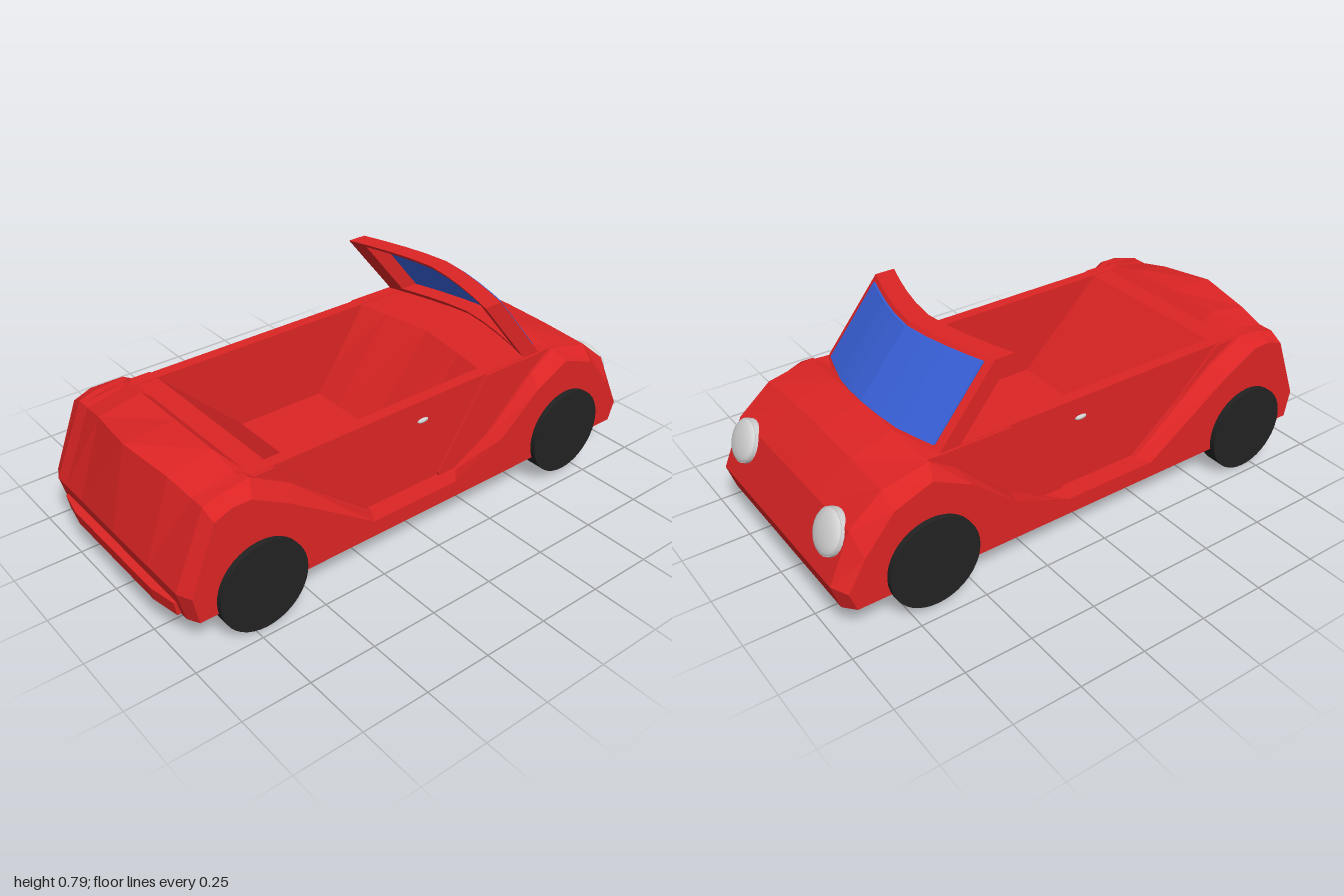
import * as THREE from 'three';

const mat = (name, color, side = THREE.FrontSide) => {
  const m = new THREE.MeshStandardMaterial({ color, side });
  m.name = name;
  return m;
};

// Flat-faced solid through matching [z, y] outlines (counter-clockwise) placed at rising x
function loft(sections) {
  const pos = [];
  const tri = (...corners) => corners.forEach((c) => pos.push(c[0], c[1], c[2]));
  const at = (s, j) => {
    const p = s.pts[j % s.pts.length];
    return [s.x, p[1], p[0]];
  };
  for (let i = 0; i < sections.length - 1; i++) {
    const s = sections[i], t = sections[i + 1];
    for (let j = 0; j < s.pts.length; j++) {
      const a = at(s, j), b = at(s, j + 1), c = at(t, j + 1), d = at(t, j);
      tri(a, c, b);
      tri(a, d, c);
    }
  }
  const cap = (s, flip) => {
    const v = s.pts.map((p) => new THREE.Vector2(p[0], p[1]));
    for (const f of THREE.ShapeUtils.triangulateShape(v, [])) {
      const area = THREE.ShapeUtils.area(f.map((k) => v[k]));
      const order = (area < 0) !== flip ? [f[0], f[2], f[1]] : f;
      tri(...order.map((k) => at(s, k)));
    }
  };
  cap(sections[0], false);
  cap(sections[sections.length - 1], true);
  const g = new THREE.BufferGeometry();
  g.setAttribute('position', new THREE.Float32BufferAttribute(pos, 3));
  g.computeVertexNormals();
  return g;
}

// Sections given for x >= 0 from the centre out, mirrored to both sides
const mirrored = (half) => [
  ...half.slice(1).reverse().map((s) => ({ x: -s.x, pts: s.pts })), ...half];

export function createModel() {
  const car = new THREE.Group();
  car.name = 'convertible';
  const red = mat('body red', 0xdc2424);
  const blue = mat('glass blue', 0x3860d8, THREE.DoubleSide);
  const black = mat('tyre black', 0x222222);
  const silver = mat('lamp silver', 0xd2d2d2);
  const add = (name, geometry, material, x = 0, y = 0, z = 0) => {
    const m = new THREE.Mesh(geometry, material);
    m.name = name;
    m.position.set(x, y, z);
    car.add(m);
    return m;
  };

  // Tail with crowned deck and sloping seat back: x, deck rear z and y, deck front y
  add('tail', loft(mirrored([
    [0, 0.915, 0.545, 0.557], [0.22, 0.885, 0.525, 0.557],
    [0.33, 0.87, 0.502, 0.533], [0.38, 0.87, 0.502, 0.53],
  ].map(([x, zr, yr, yf]) => ({ x, pts: [
    [0.265, 0.115], [0.955, 0.115], [0.985, 0.23], [zr, yr],
    [0.72, yf], [0.68, 0.523], [0.6, 0.523], [0.265, 0.2]] })))), red);

  // Nose with rounded bonnet, cowl and sloping footwell: x, cowl z, crest y, brow y, rim z
  add('nose', loft(mirrored([
    [0, -0.65, 0.552, 0.505, -0.37], [0.2, -0.645, 0.545, 0.5, -0.34],
    [0.38, -0.63, 0.527, 0.49, -0.31],
  ].map(([x, zc, yc, yb, zr]) => ({ x, pts: [
    [-0.97, 0.115], [-0.1, 0.115], [-0.1, 0.2], [zr, 0.523], [-0.57, 0.523],
    [zc, yc], [-0.8, yb], [-0.92, 0.39], [-1, 0.21]] })))), red);

  add('floor', new THREE.BoxGeometry(0.74, 0.085, 0.4), red, 0, 0.1575, 0.08);

  // Rear lip
  add('rearLip', loft(mirrored([[0, 1], [0.25, 1], [0.36, 0.98]].map(([x, z]) => ({
    x, pts: [[0.94, 0.118], [z - 0.01, 0.118], [z, 0.172], [0.94, 0.172]] })))), red);

  // Sweeping wings joined by the sill
  const inner = [[-0.97, 0.115], [0.955, 0.115], [0.985, 0.23], [0.87, 0.502], [0.8, 0.522],
    [0.7, 0.535], [0.55, 0.45], [0.22, 0.19], [-0.17, 0.19], [-0.32, 0.27], [-0.53, 0.46],
    [-0.63, 0.527], [-0.8, 0.49], [-0.92, 0.39], [-1, 0.21]];
  const outer = [[-0.94, 0.128], [0.94, 0.128], [0.96, 0.23], [0.865, 0.475], [0.8, 0.5],
    [0.73, 0.498], [0.59, 0.42], [0.25, 0.19], [-0.12, 0.19], [-0.34, 0.28], [-0.51, 0.42],
    [-0.65, 0.492], [-0.79, 0.44], [-0.9, 0.31], [-0.965, 0.2]];
  const wing = [{ x: 0.36, pts: inner }, { x: 0.39, pts: inner }, { x: 0.445, pts: outer }];

  for (const [side, s] of [['left', 1], ['right', -1]]) {
    add(side + 'Wing', loft(s > 0 ? wing
      : wing.map((w) => ({ x: -w.x, pts: w.pts })).reverse()), red);
    add(side + 'Door', new THREE.BoxGeometry(0.045, 0.41, 1.3), red, s * 0.3475, 0.32, 0.05);
    const handle = add(side + 'Handle', new THREE.SphereGeometry(1, 8, 6), silver,
      s * 0.372, 0.448, -0.02);
    handle.scale.set(0.008, 0.009, 0.025);

    // Wheels
    for (const [end, y, z] of [['Rear', 0.167, 0.71], ['Front', 0.193, -0.665]]) {
      const wheel = new THREE.CylinderGeometry(0.167, 0.167, 0.07, 40).rotateZ(Math.PI / 2);
      add(side + end + 'Wheel', wheel, black, s * 0.431, y, z);
    }

    // Headlights set into the nose slope
    const lamp = new THREE.Group();
    lamp.name = side + 'Headlight';
    const rim = new THREE.Mesh(new THREE.CylinderGeometry(0.078, 0.08, 0.03, 24), silver);
    rim.name = 'lampRim';
    const lens = new THREE.Mesh(
      new THREE.SphereGeometry(0.076, 24, 8, 0, Math.PI * 2, 0, Math.PI / 2), silver);
    lens.name = 'lampLens';
    lens.scale.y = 0.3;
    lens.position.y = 0.014;
    lamp.add(rim, lens);
    lamp.position.set(s * 0.305, 0.343, -0.938);
    lamp.rotation.x = -1.12;
    car.add(lamp);
  }

  // Windscreen: raked and bowed; d is the depth behind the front face
  const bow = (x) => 0.085 * Math.pow(Math.abs(x) / 0.37, 1.5);
  const screenZ = (x, y, d) => -0.45 + bow(x) + d - (0.787 - y) * 0.81;
  const bar = (xs, y0, y1, d0, d1) => loft(xs.map((x) => ({ x, pts: [
    [screenZ(x, y0, d0), y0], [screenZ(x, y0, d1), y0],
    [screenZ(x, y1, d1), y1], [screenZ(x, y1, d0), y1]] })));
  const span = [-0.37, -0.28, -0.19, -0.1, 0, 0.1, 0.19, 0.28, 0.37];
  add('screenTopRail', bar(span, 0.773, 0.787, 0, 0.075), red);
  add('screenBottomRail', bar(span, 0.5, 0.543, 0, 0.075), red);
  add('leftScreenPost', bar([0.305, 0.37], 0.5, 0.787, 0, 0.075), red);
  add('rightScreenPost', bar([-0.37, -0.305], 0.5, 0.787, 0, 0.075), red);
  const glassSpan = [-0.34, -0.28, -0.19, -0.1, 0, 0.1, 0.19, 0.28, 0.34];
  add('windscreen', bar(glassSpan, 0.54, 0.775, -0.007, 0.002), blue);

  return car;
}
